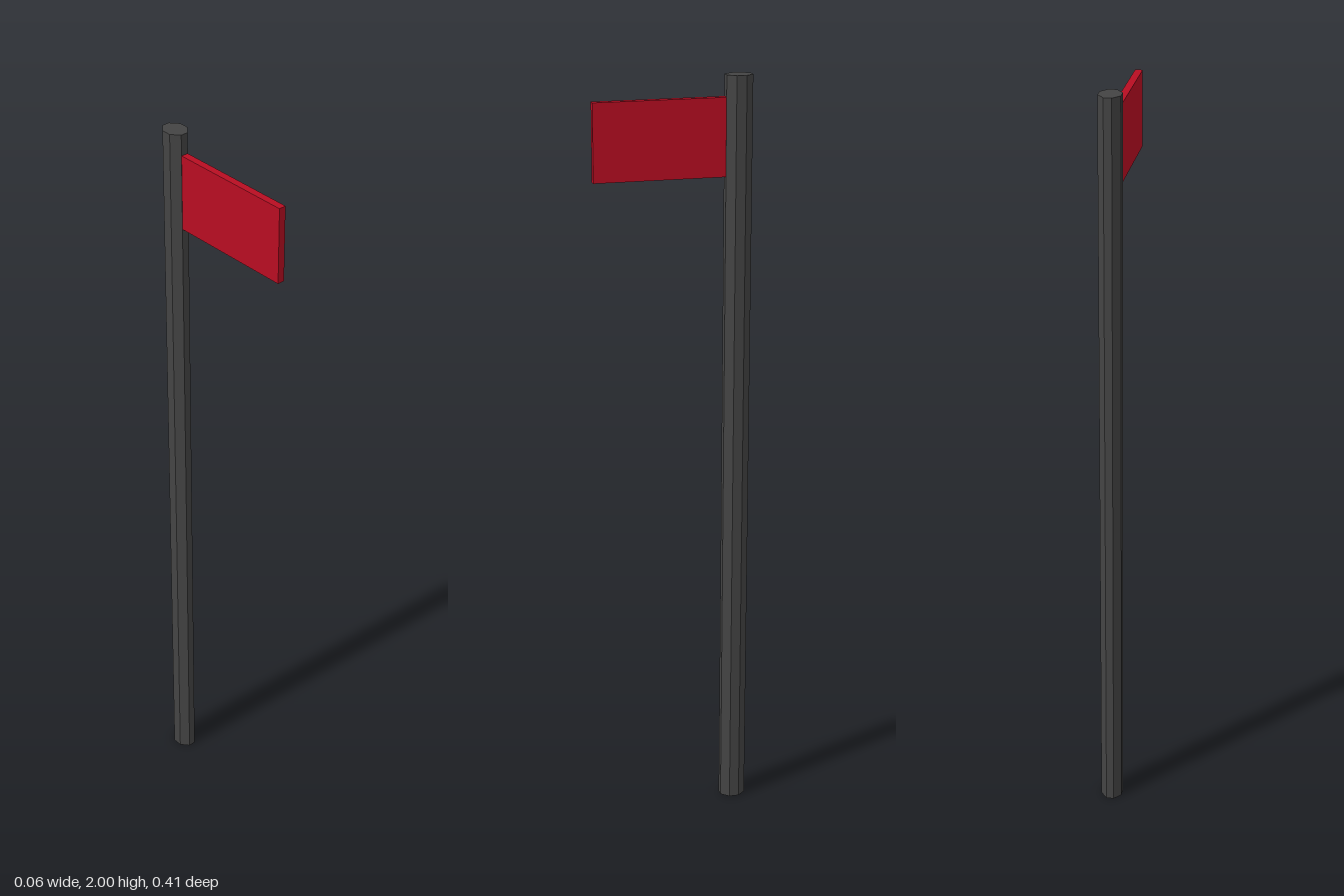
import * as THREE from 'three';

const POLE_HEIGHT = 2;
const POLE_Z = -0.17;

function addPart(group, name, geometry, color) {
  const material = new THREE.MeshStandardMaterial({ color, flatShading: true });
  const mesh = new THREE.Mesh(geometry, material);
  mesh.name = name;
  group.add(mesh);
  return mesh;
}

// Rectangle with cut corners: half sizes w, d and half flat lengths a, b
function octagon(w, d, a, b) {
  return new THREE.Shape([
    [w, -b], [w, b], [a, d], [-a, d],
    [-w, b], [-w, -b], [-a, -d], [a, -d],
  ].map(([x, y]) => new THREE.Vector2(x, y)));
}

export function createModel() {
  const model = new THREE.Group();
  model.name = 'flagOnPole';

  // Eight-sided pole, slightly deeper than wide
  const poleGeometry = new THREE.ExtrudeGeometry(octagon(0.028, 0.034, 0.01, 0.013), {
    depth: POLE_HEIGHT,
    bevelEnabled: false,
  });
  poleGeometry.rotateX(-Math.PI / 2);
  addPart(model, 'pole', poleGeometry, 0x444444).position.z = POLE_Z;

  // Stiff flag reaching forward from the pole's front face
  const flagBack = POLE_Z + 0.034;
  const flagFront = 0.204;
  const flag = addPart(model, 'flag',
    new THREE.BoxGeometry(0.019, 0.2, flagFront - flagBack), 0xb80d22);
  flag.position.set(0, 1.845, (flagFront + flagBack) / 2);

  return model;
}
